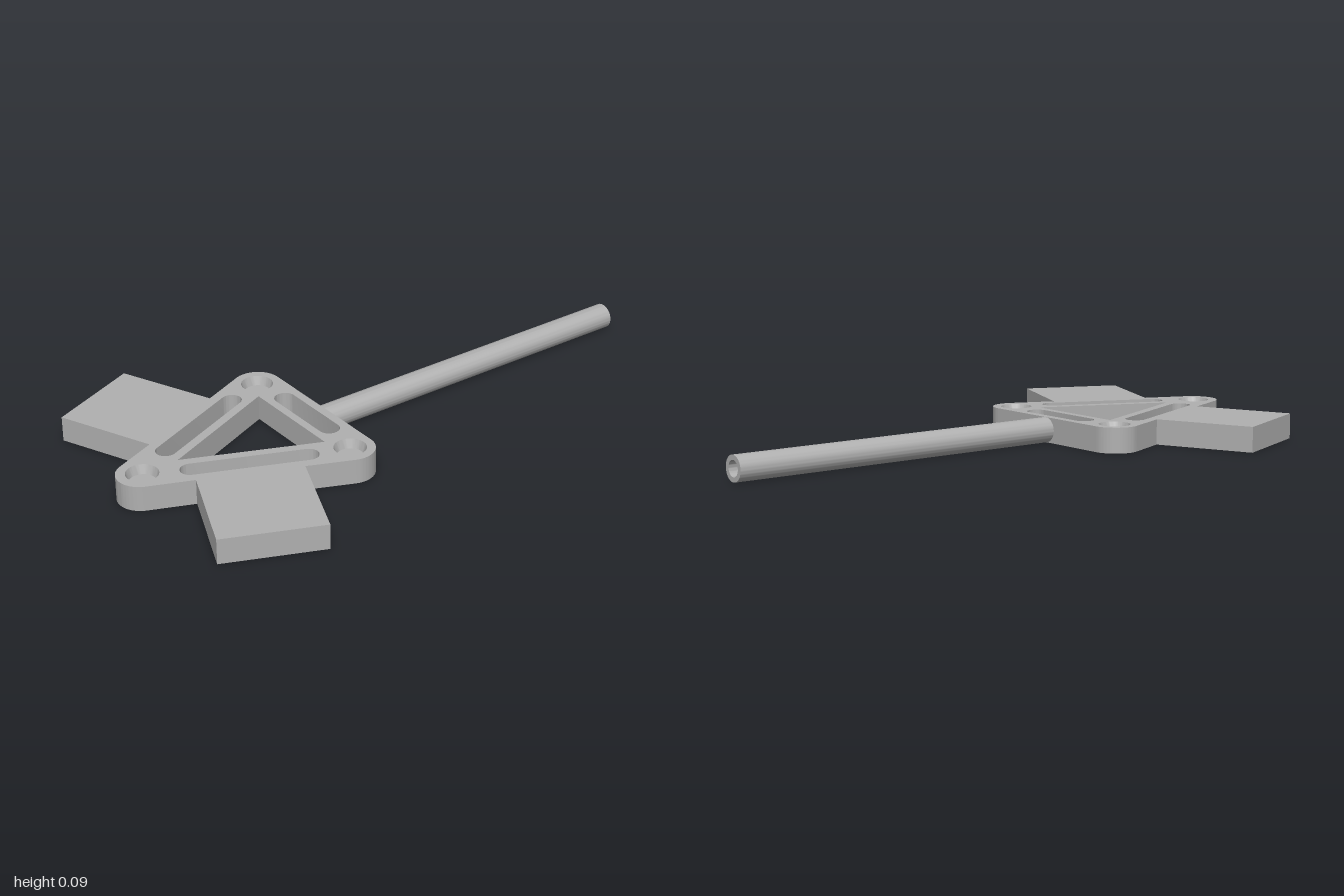
import * as THREE from 'three';
import { toCreasedNormals } from 'three/addons/utils/BufferGeometryUtils.js';

const H = 0.086;                 // plate thickness
const CORNER = { x: 0.26, z: 0.31 }, TIP_Z = 0.918, R = 0.081;
const SIDE = Math.atan2(CORNER.x, TIP_Z - CORNER.z); // angle of the sloping side's normal

// Rounded slot between two centres
function slot(x1, z1, x2, z2, r) {
  const a = Math.atan2(z2 - z1, x2 - x1), q = Math.PI / 2;
  const p = new THREE.Path();
  p.absarc(x2, z2, r, a - q, a + q, false);
  p.absarc(x1, z1, r, a + q, a + 3 * q, false);
  p.closePath();
  return p;
}

const creased = (g) => toCreasedNormals(g.index ? g.toNonIndexed() : g, 0.5);

export function createModel() {
  const group = new THREE.Group();
  const grey = new THREE.MeshStandardMaterial({ color: 0xb0b0b0 });
  grey.name = 'grey';
  const add = (name, geometry) => {
    const mesh = new THREE.Mesh(geometry, grey);
    mesh.name = name;
    group.add(mesh);
    return mesh;
  };

  // Triangular frame with a square pad on each sloping side, drawn in x and z
  const pad = [[0.27, 0.49], [0.588, 0.625], [0.453, 0.94], [0.135, 0.805]];
  const outline = new THREE.Shape();
  outline.absarc(CORNER.x, CORNER.z, R, -Math.PI / 2, SIDE, false);
  pad.forEach(([x, z]) => outline.lineTo(x, z));
  outline.absarc(0, TIP_Z, R, SIDE, Math.PI - SIDE, false);
  [...pad].reverse().forEach(([x, z]) => outline.lineTo(-x, z));
  outline.absarc(-CORNER.x, CORNER.z, R, Math.PI - SIDE, Math.PI * 1.5, false);
  outline.closePath();

  // Openings: central triangle, three slots, three round pockets
  const window = new THREE.Path();
  window.moveTo(-0.185, 0.355);
  window.lineTo(0.185, 0.355);
  window.lineTo(0, 0.785);
  window.closePath();
  outline.holes.push(window, slot(-0.123, 0.293, 0.123, 0.293, 0.035));
  for (const s of [-1, 1]) outline.holes.push(slot(s * 0.218, 0.44, s * 0.071, 0.784, 0.034));

  const pockets = [[-CORNER.x, CORNER.z], [CORNER.x, CORNER.z], [0, TIP_Z - 0.003]];
  for (const [x, z] of pockets) {
    const hole = new THREE.Path();
    hole.absarc(x, z, 0.053, 0, Math.PI * 2, false);
    outline.holes.push(hole);
  }
  const plate = new THREE.ExtrudeGeometry(outline, { depth: H, bevelEnabled: false, curveSegments: 32 });
  plate.rotateX(Math.PI / 2).translate(0, H, 0);
  add('framePlate', creased(plate));

  // Shallow tapered cups filling the round holes
  const cup = [[0, 0], [0.053, 0], [0.053, H], [0.043, 0.056], [0, 0.056]]
    .map(([r, y]) => new THREE.Vector2(r, y));
  const cupGeometry = creased(new THREE.LatheGeometry(cup, 64));
  for (const [x, z] of pockets) add('pocket', cupGeometry).position.set(x, 0, z);

  // Hollow handle running back from the frame
  const ro = H / 2, ri = 0.027, length = 1.24;
  const tube = [[ri, 0], [ro, 0], [ro, length], [ri, length], [ri, 0]]
    .map(([r, y]) => new THREE.Vector2(r, y));
  const handle = new THREE.LatheGeometry(tube, 48);
  handle.rotateX(-Math.PI / 2).translate(0, ro, 0.24);
  add('handleTube', creased(handle));

  return group;
}
